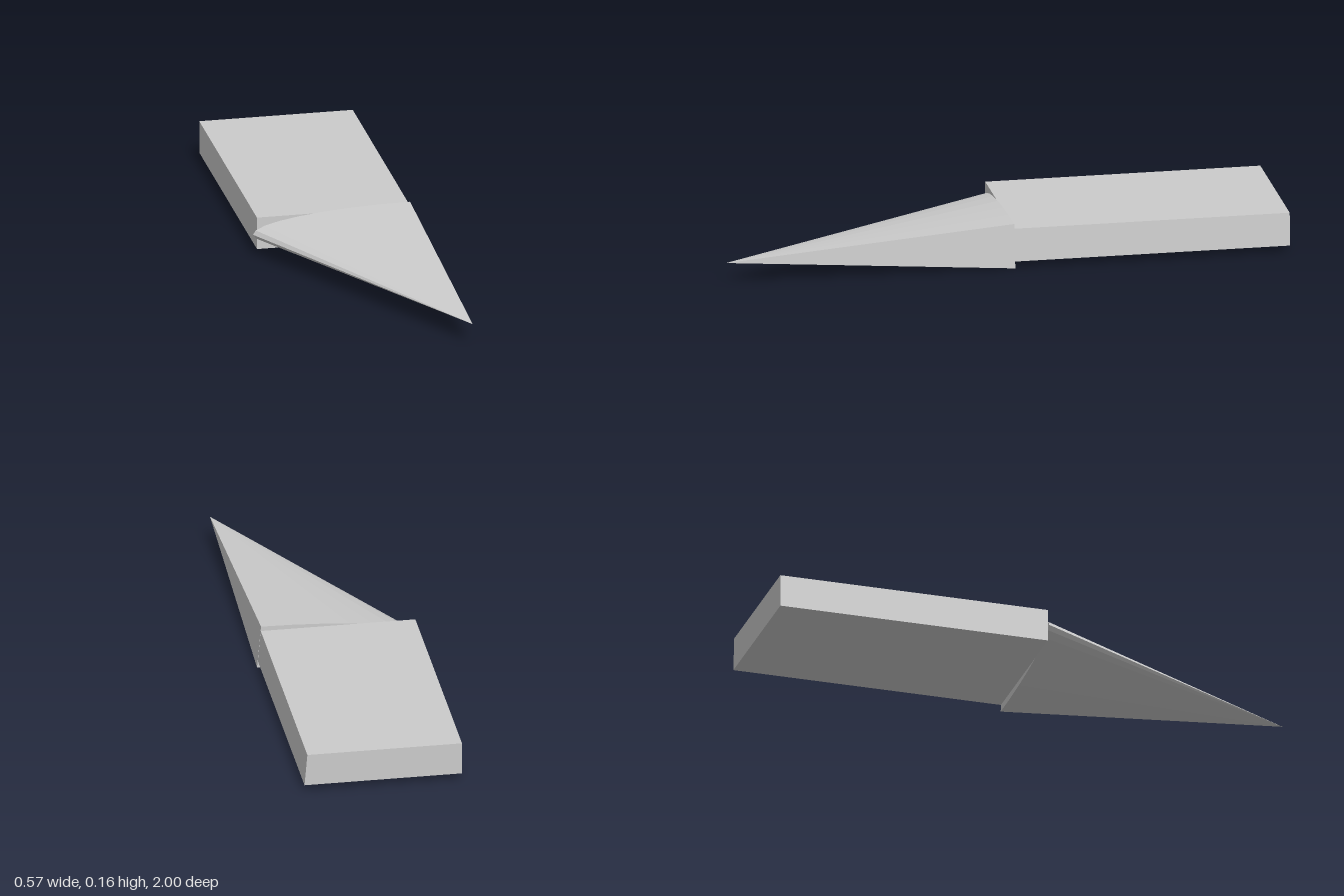
import * as THREE from 'three';

const material = new THREE.MeshStandardMaterial({ color: 0xcccccc, flatShading: true });
const JOIN_Z = -0.025; // plane where the slab meets the tip
const MID_Y = 0.079;

// Flat slab with one slightly slanted side, running back from the join.
function createSlab() {
  const profile = new THREE.Shape([
    new THREE.Vector2(-0.273, 0.024),
    new THREE.Vector2(0.283, 0.024),
    new THREE.Vector2(0.273, 0.141),
    new THREE.Vector2(-0.273, 0.141),
  ]);
  const depth = JOIN_Z + 1;
  const geometry = new THREE.ExtrudeGeometry(profile, { depth, bevelEnabled: false });
  geometry.translate(0, 0, -1);
  return new THREE.Mesh(geometry, material);
}

// Half-elliptical cone: the base arc is fanned to an apex on its flat side.
function createTip() {
  const segments = 16;
  const tilt = 0.0125; // leans the flat side in line with the slab's slanted side
  const positions = [];
  const index = [];
  for (let i = 0; i <= segments; i++) {
    const a = Math.PI / 2 + tilt + (Math.PI * i) / segments;
    positions.push(0.279 + 0.566 * Math.cos(a), MID_Y + 0.079 * Math.sin(a), JOIN_Z);
  }
  const apex = segments + 1;
  positions.push(0.279, MID_Y, 1);

  for (let i = 0; i <= segments; i++) {
    index.push(i, (i + 1) % (segments + 1), apex); // curved shell and flat side
    if (i > 0 && i < segments) index.push(0, i + 1, i); // base cap
  }
  const indexed = new THREE.BufferGeometry();
  indexed.setAttribute('position', new THREE.Float32BufferAttribute(positions, 3));
  indexed.setIndex(index);
  const geometry = indexed.toNonIndexed();
  geometry.computeVertexNormals();
  return new THREE.Mesh(geometry, material);
}

export function createModel() {
  const group = new THREE.Group();
  group.name = 'pointedBlade';
  const slab = createSlab();
  slab.name = 'slab';
  const tip = createTip();
  tip.name = 'tip';
  group.add(slab, tip);
  return group;
}
